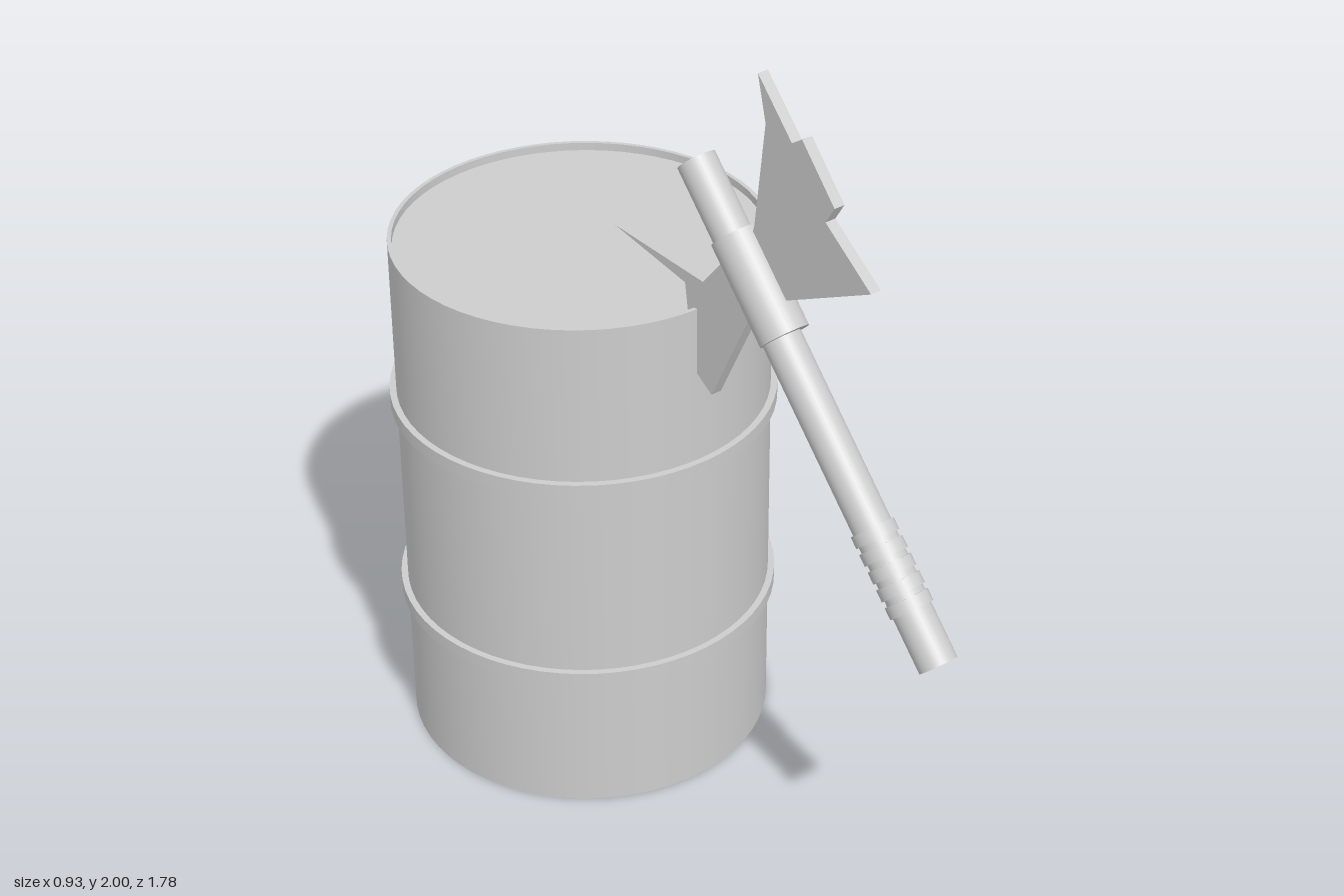
import * as THREE from 'three';

export function createModel() {
  const model = new THREE.Group();
  const steel = new THREE.MeshStandardMaterial({ color: 0xcccccc });
  steel.name = 'light grey steel';

  function add(parent, geometry, name) {
    const mesh = new THREE.Mesh(geometry, steel);
    mesh.name = name;
    parent.add(mesh);
    return mesh;
  }

  // Barrel with a recessed lid and two raised hoops
  const barrel = new THREE.Group();
  barrel.name = 'barrel';
  barrel.position.z = -0.42;
  model.add(barrel);

  const R = 0.45, H = 1.34, rim = 0.44, lid = 1.32;
  const wall = new THREE.CylinderGeometry(R, R, H, 64, 1, true);
  add(barrel, wall, 'barrelWall').position.y = H / 2;
  add(barrel, new THREE.CircleGeometry(R, 64).rotateX(Math.PI / 2), 'barrelBase');
  add(barrel, new THREE.CircleGeometry(rim, 64).rotateX(-Math.PI / 2), 'barrelLid').position.y = lid;
  add(barrel, new THREE.RingGeometry(rim, R, 64).rotateX(-Math.PI / 2), 'barrelRim').position.y = H;
  const lip = new THREE.LatheGeometry([new THREE.Vector2(rim, H), new THREE.Vector2(rim, lid)], 64);
  add(barrel, lip, 'barrelInnerLip');
  for (const y of [0.38, 0.92]) {
    add(barrel, new THREE.CylinderGeometry(0.466, 0.466, 0.034, 64), 'barrelHoop').position.y = y;
  }

  // Axe leaning on the barrel; the handle group runs along its local y axis
  const axe = new THREE.Group();
  axe.name = 'axe';
  model.add(axe);

  const bottom = new THREE.Vector3(-0.016, 0.843, 0.861);
  const top = new THREE.Vector3(-0.016, 1.719, 0.032);
  const length = bottom.distanceTo(top);
  const haft = new THREE.Group();
  haft.name = 'haft';
  haft.position.copy(bottom);
  haft.quaternion.setFromUnitVectors(
    new THREE.Vector3(0, 1, 0), top.clone().sub(bottom).normalize());
  axe.add(haft);

  add(haft, new THREE.CylinderGeometry(0.045, 0.045, length, 32), 'handle').position.y = length / 2;
  for (let i = 0; i < 5; i++) {
    const ring = new THREE.CylinderGeometry(0.051, 0.051, 0.028, 32);
    add(haft, ring, 'gripRing').position.y = 0.145 + i * 0.042;
  }
  add(haft, new THREE.CylinderGeometry(0.058, 0.058, 0.245, 32), 'headCollar')
    .position.set(0, 0.9, 0.013);

  // Flat blades, outlined as [z, y]
  function blade(points, name) {
    const shape = new THREE.Shape(points.map(([z, y]) => new THREE.Vector2(z, y)));
    const thickness = 0.027;
    const geometry = new THREE.ExtrudeGeometry(shape, { depth: thickness, bevelEnabled: false });
    geometry.translate(0, 0, -thickness / 2).rotateY(-Math.PI / 2);
    add(axe, geometry, name).position.x = 0.002;
  }
  blade([
    [0.23, 2.0], [0.257, 1.894], [0.225, 1.64], [0.2, 1.54], [0.28, 1.475], [0.6, 1.64],
    [0.453, 1.745], [0.48, 1.788], [0.374, 1.904], [0.342, 1.883],
  ], 'upperBlade');
  blade([
    [0.24, 1.53], [0.236, 1.448], [0.082, 1.14], [0.003, 1.188], [0.0, 1.3],
    [-0.013, 1.39], [-0.27, 1.425], [0.05, 1.42], [0.156, 1.544],
  ], 'lowerBlade');

  return model;
}
